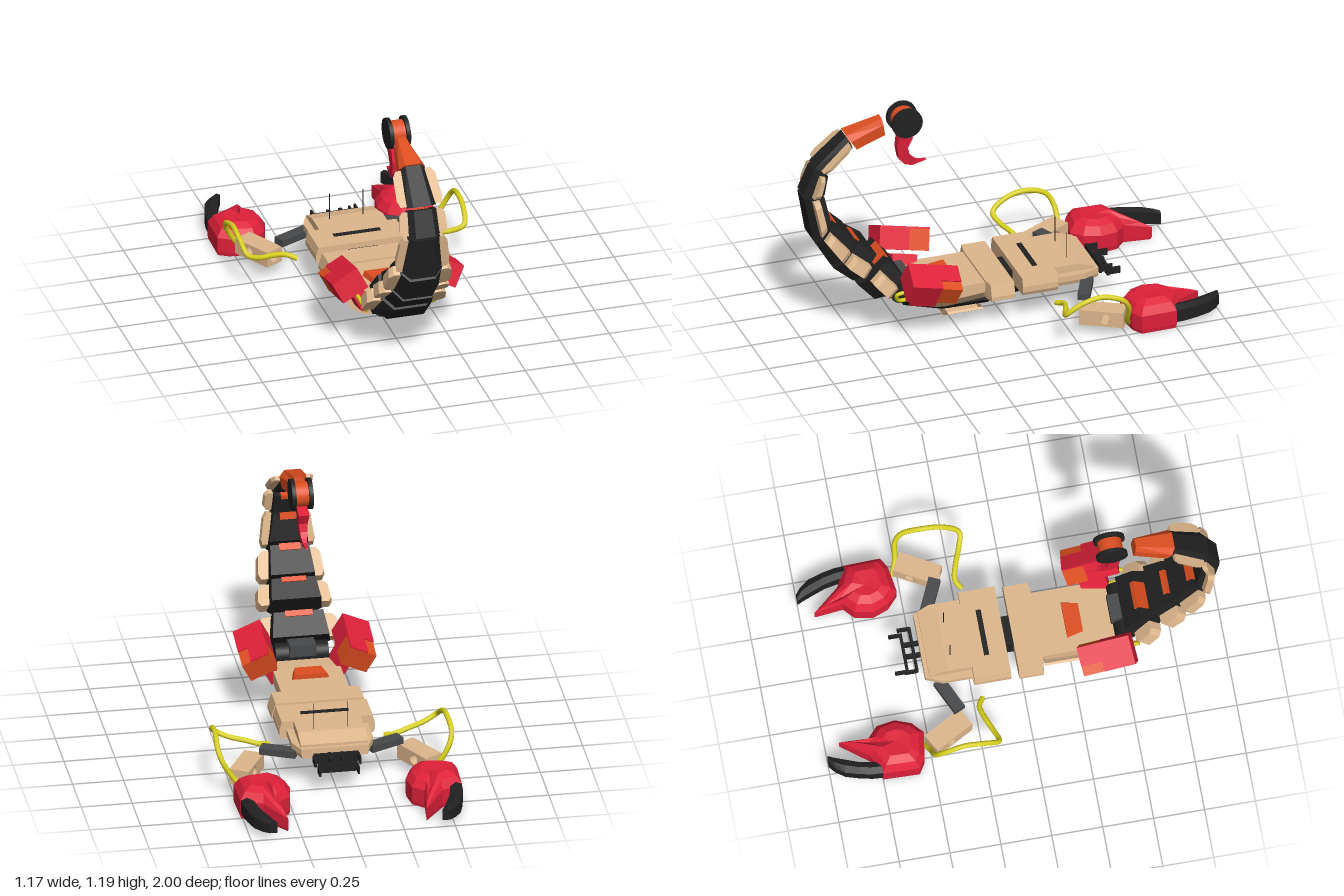
import * as THREE from 'three';

const mat = (name, color) => Object.assign(new THREE.MeshStandardMaterial({ color }), { name });

export function createModel() {
  const root = new THREE.Group();
  const black = mat('black shell', 0x212121), tan = mat('tan armour', 0xdeb78c);
  const red = mat('red', 0xde2039), orange = mat('orange', 0xde4e20);
  const yellow = mat('yellow hose', 0xd8d01e), grey = mat('dark grey', 0x46484a);

  const add = (name, geo, m, parent = root) => {
    const mesh = new THREE.Mesh(geo, m);
    mesh.name = name;
    parent.add(mesh);
    return mesh;
  };
  const box = (name, m, w, h, d, x, y, z, parent = root) => {
    const b = add(name, new THREE.BoxGeometry(w, h, d), m, parent);
    b.position.set(x, y, z);
    return b;
  };
  // Cylinder lying along x
  const axle = (name, m, r, w, x, y, z) => {
    const c = add(name, new THREE.CylinderGeometry(r, r, w, 32), m);
    c.rotation.z = Math.PI / 2;
    c.position.set(x, y, z);
  };

  // Faceted solid through equal-length loops of [x, y, z], capped and turned outward
  const loft = (loops) => {
    const tris = [], n = loops[0].length;
    const mid = (l) => [0, 1, 2].map((k) => l.reduce((s, p) => s + p[k], 0) / n);
    const last = loops[loops.length - 1], c0 = mid(loops[0]), c1 = mid(last);
    for (let i = 0; i < n; i++) {
      const j = (i + 1) % n;
      for (let k = 0; k + 1 < loops.length; k++) {
        const a = loops[k], b = loops[k + 1];
        tris.push([a[i], a[j], b[j]], [a[i], b[j], b[i]]);
      }
      tris.push([c0, loops[0][j], loops[0][i]], [c1, last[i], last[j]]);
    }
    const volume = tris.reduce((s, [a, b, c]) => s + new THREE.Vector3(...a)
      .dot(new THREE.Vector3(...b).cross(new THREE.Vector3(...c))), 0);
    if (volume < 0) tris.forEach((t) => t.reverse());
    const g = new THREE.BufferGeometry();
    g.setAttribute('position', new THREE.Float32BufferAttribute(tris.flat(2), 3));
    g.computeVertexNormals();
    return g;
  };
  // Side profile of [z, y] points spanning -w..w
  const slab = (pts, w) => loft([-w, w].map((x) => pts.map(([z, y]) => [x, y, z])));
  // Plan outlines of [x, z] stacked as [y, scaleX] levels
  const stack = (pts, levels) => loft(levels.map(([y, s]) => pts.map(([x, z]) => [x * s, y, z])));
  const mirrored = (half) => [...half, ...half.map(([x, z]) => [-x, z]).reverse()];

  // Head armour
  add('headPlate', stack(mirrored([[0.235, -0.06], [0.235, -0.24], [0.2, -0.24], [0.2, -0.39], [0.165, -0.47]]),
    [[0.155, 0.96], [0.175, 1], [0.205, 1]]), tan);
  add('headCollar', stack(mirrored([[0.235, -0.06], [0.235, -0.24]]), [[0.2, 1], [0.245, 0.95]]), tan);
  add('headCrown', slab([[-0.22, 0.19], [-0.45, 0.19], [-0.45, 0.218], [-0.36, 0.244], [-0.22, 0.244]], 0.165), tan);
  add('headChin', slab([[-0.2, 0.14], [-0.45, 0.15], [-0.45, 0.2], [-0.2, 0.2]], 0.13), tan);
  box('headSlot', black, 0.235, 0.012, 0.025, 0, 0.243, -0.16);
  box('neckLink', black, 0.15, 0.07, 0.12, 0, 0.18, -0.02);

  // Black underside, narrow at the neck, and the folded tan belly tray
  const hull = [[-0.3, 0.1, 0.15, 0.075], [-0.25, 0.09, 0.16, 0.075], [0.03, 0.075, 0.16, 0.075],
    [0.07, 0.072, 0.16, 0.125], [0.3, 0.075, 0.16, 0.125], [0.5, 0.13, 0.175, 0.12]];
  add('underside', loft(hull.map(([z, lo, hi, w]) => [[-0.7, lo], [0.7, lo], [1, lo + 0.035],
    [0.9, hi], [-0.9, hi], [-1, lo + 0.035]].map(([x, y]) => [x * w, y, z]))), black);
  add('bellyTray', loft([0.12, 0.3].map((z) => [[-0.1, 0.045], [0.1, 0.045], [0.165, 0.083],
    [0.155, 0.091], [0.097, 0.056], [-0.097, 0.056], [-0.155, 0.091], [-0.165, 0.083]]
    .map(([x, y]) => [x, y, z]))), tan);

  // Back armour
  add('shoulderPlate', stack(mirrored([[0.14, -0.02], [0.235, -0.02], [0.235, 0.1], [0.165, 0.11]]),
    [[0.135, 0.76], [0.155, 1], [0.175, 1], [0.235, 0.92]]), tan);
  const back = [[0.08, 0.125, 0.225], [0.3, 0.107, 0.225], [0.36, 0.115, 0.225], [0.47, 0.15, 0.215]];
  add('backPlate', loft(back.map(([z, lo, hi]) => [[-0.125, lo, z], [0.125, lo, z], [0.165, lo + 0.05, z],
    [0.165, hi, z], [-0.165, hi, z], [-0.165, lo + 0.05, z]])), tan);
  add('backHatch', stack(mirrored([[0.095, 0.24], [0.075, 0.32]]), [[0.22, 1], [0.25, 0.85]]), orange);

  // Front sensor jaw and antennae
  for (const [z, w, y] of [[-0.5, 0.11, 0.165], [-0.545, 0.095, 0.135]]) {
    const jaw = new THREE.Group();
    jaw.name = 'jawPlate';
    jaw.position.set(0, y, z);
    root.add(jaw);
    box('jawBar', black, w * 2, 0.05, 0.012, 0, 0, 0, jaw);
    for (const s of [-1, 1]) box('jawProng', black, 0.01, 0.035, 0.06, s * w, 0, -0.03, jaw);
  }
  for (const s of [-1, 1]) {
    box('jawRod', black, 0.018, 0.03, 0.1, s * 0.03, 0.165, -0.495);
    const antenna = add('antenna', new THREE.CylinderGeometry(0.002, 0.002, 0.14, 6), black);
    antenna.position.set(s * 0.085, 0.31, -0.335);
  }

  // Tail: outer/inner [z, y] at each end, half widths, side panel flare
  const tail = [
    [[0.65, 0.195], [0.515, 0.32], [0.735, 0.285], [0.595, 0.415], 0.155, 0.135, 0.06],
    [[0.757, 0.31], [0.65, 0.455], [0.853, 0.39], [0.74, 0.525], 0.135, 0.12, 0.055],
    [[0.864, 0.406], [0.75, 0.54], [0.944, 0.54], [0.858, 0.647], 0.12, 0.105, 0.052],
    [[0.955, 0.56], [0.874, 0.658], [0.997, 0.786], [0.9, 0.79], 0.105, 0.08, 0.036],
    [[0.997, 0.8], [0.9, 0.8], [0.944, 0.925], [0.88, 0.9], 0.082, 0.076, 0.038],
    [[0.938, 0.94], [0.88, 0.92], [0.778, 1.085], [0.75, 1.027], 0.076, 0.062, 0.042],
    [[0.778, 1.09], [0.73, 1.016], [0.59, 1.144], [0.575, 1.053], 0.066, 0.035, 0],
  ];
  const mix = (a, b, t) => a.map((v, i) => v + (b[i] - v) * t);
  tail.forEach(([o0, i0, o1, i1, w0, w1, flare], k) => {
    const point = (x, u, t) => { const [z, y] = mix(mix(o0, i0, t), mix(o1, i1, t), u); return [x, y, z]; };
    const section = (u, w) => [[-0.6, 0], [0.6, 0], [1, 0.35], [0.9, 1], [-0.9, 1], [-1, 0.35]]
      .map(([x, t]) => point(x * w, u, t));
    add('tailSegment' + (k + 1), loft([section(0, w0), section(1, w1)]), flare ? black : orange);
    if (!flare) return;
    for (const s of [-1, 1]) {
      const panel = (u, f) => {
        const w = w0 + (w1 - w0) * u;
        return [[w * 0.8, 0.3], [w + f, 0.33], [w + f * 0.85, 0.67], [w * 0.8, 0.7]]
          .map(([x, t]) => point(s * x, u, t));
      };
      add('tailSidePanel', loft([panel(0.03, flare * 0.65), panel(0.2, flare), panel(0.82, flare),
        panel(0.97, flare * 0.6)]), tan);
    }
    // Coloured joint pad on the inner end
    const pad = (u) => [[-0.5, 0.65], [0.5, 0.65], [0.5, 1.04], [-0.5, 1.04]].map(([x, t]) => point(x * w1, u, t));
    add('tailJoint', loft([pad(0.8), pad(1.03)]), orange);
  });

  // Round link from body to tail
  axle('tailRoot', black, 0.055, 0.26, 0, 0.225, 0.525);
  box('tailRootCover', grey, 0.13, 0.06, 0.1, 0, 0.265, 0.51);

  // Tail tip: twin wheels with hub, and the hooked stinger
  for (const x of [-0.032, 0.052]) axle('tipWheel', black, 0.077, 0.02, x, 1.11, 0.47);
  axle('tipHub', orange, 0.06, 0.07, 0.01, 1.11, 0.47);
  const hook = [[0.5, 1.03, 0.43, 1.01], [0.51, 0.96, 0.455, 0.955], [0.5, 0.9, 0.445, 0.915],
    [0.47, 0.865, 0.425, 0.89], [0.43, 0.85, 0.405, 0.875], [0.355, 0.866, 0.357, 0.87]];
  add('stinger', loft(hook.map(([z0, y0, z1, y1], i) => {
    const w = 0.026 - i * 0.004;
    return [[-w, y0, z0], [w, y0, z0], [w, y1, z1], [-w, y1, z1]];
  })), red);

  const tube = (name, pts, r, n) => add(name, new THREE.TubeGeometry(
    new THREE.CatmullRomCurve3(pts.map((p) => new THREE.Vector3(...p))), n, r, 10), yellow);
  // Rectangular block with a round hole, extruded along z
  const drilled = (w, h, r, depth) => {
    const shape = new THREE.Shape([[-w, -h], [w, -h], [w, h], [-w, h]].map(([x, y]) => new THREE.Vector2(x / 2, y / 2)));
    shape.holes.push(new THREE.Path().absarc(0, 0, r, 0, Math.PI * 2, true));
    return new THREE.ExtrudeGeometry(shape, { depth, bevelEnabled: false, curveSegments: 16 }).translate(0, 0, -depth / 2);
  };

  for (const s of [-1, 1]) {
    // Upper arm and drilled forearm
    const arm = new THREE.Group();
    arm.name = 'upperArm';
    arm.position.set(s * 0.26, 0.157, -0.37);
    arm.rotation.y = -s * 0.43;
    root.add(arm);
    box('armBar', grey, 0.18, 0.035, 0.06, 0, 0, 0, arm);
    const forearm = new THREE.Group();
    forearm.name = 'forearm';
    forearm.position.set(s * 0.423, 0.092, -0.403);
    forearm.rotation.y = -s * 0.51;
    root.add(forearm);
    add('forearmBlock', drilled(0.178, 0.08, 0.027, 0.1).rotateY(Math.PI / 2), tan, forearm).position.z = -0.02;
    add('forearmEnd', drilled(0.1, 0.08, 0.025, 0.04), tan, forearm).position.z = 0.089;

    // Claw, held closer in on the left: palm with low pointed thumb, then the blunt curved finger
    const claw = new THREE.Group();
    claw.name = 'claw';
    claw.position.x = s > 0 ? -0.064 : 0;
    root.add(claw);
    const palm = [[0.575, -0.75], [0.58, -0.57], [0.53, -0.54], [0.4, -0.52], [0.345, -0.57], [0.315, -0.65],
      [0.33, -0.74], [0.385, -0.79], [0.37, -0.93], [0.47, -0.8]];
    const level = (y, f) => palm.map(([x, z]) => [s * (0.45 + (x - 0.45) * f), z < -0.9 ? y * 0.7 : y,
      -0.66 + (z + 0.66) * f]);
    add('clawPalm', loft([level(0, 0.97), level(0.02, 1), level(0.095, 1), level(0.135, 0.8), level(0.155, 0.5)]),
      red, claw);
    const finger = [[0.574, 0.515, -0.735], [0.57, 0.508, -0.8], [0.558, 0.495, -0.86], [0.537, 0.468, -0.93],
      [0.505, 0.45, -0.975], [0.474, 0.437, -1]];
    add('clawFinger', loft(finger.map(([xo, xi, z], i) => {
      const lo = 0.03 + i * 0.001, hi = 0.112 - i * 0.002, m = (xo + xi) / 2;
      return [[xo, lo], [xo, hi - 0.015], [m, hi], [xi, hi - 0.01], [xi, lo]].map(([x, y]) => [s * x, y, z]);
    })), black, claw);

    // Hoses
    tube('armHose', [[0.285, 0.12, -0.21], [0.33, 0.135, -0.235], [0.4, 0.152, -0.22], [0.48, 0.165, -0.19],
      [0.545, 0.195, -0.175], [0.565, 0.25, -0.25], [0.568, 0.27, -0.35], [0.573, 0.235, -0.455],
      [0.555, 0.18, -0.49], [0.5, 0.09, -0.5], [0.44, 0.035, -0.525]].map(([x, y, z]) => [s * x, y, z]), 0.013, 64);
    tube('packHose', [[0.2, 0.27, 0.5], [0.19, 0.25, 0.57], [0.17, 0.21, 0.555], [0.15, 0.2, 0.48]]
      .map(([x, y, z]) => [s * x, y, z]), 0.01, 20);

    // Tilted side pack: red rear, orange front under a red lid
    const pack = new THREE.Group();
    pack.name = 'sidePack';
    pack.position.set(s * 0.243, 0.312, 0.4);
    pack.rotation.set(-0.22, 0, -s * 0.46);
    root.add(pack);
    box('packRear', red, 0.145, 0.115, 0.155, 0, 0, 0.0625, pack);
    box('packFront', orange, 0.143, 0.108, 0.105, 0, -0.003, -0.0675, pack);
    box('packLid', red, 0.095, 0.008, 0.105, -s * 0.025, 0.0535, -0.0675, pack);
    const bracket = box('packBracket', red, 0.06, 0.1, 0.13, s * 0.165, 0.212, 0.42);
    bracket.rotation.set(-0.22, 0, -s * 0.46);
  }
  return root;
}
